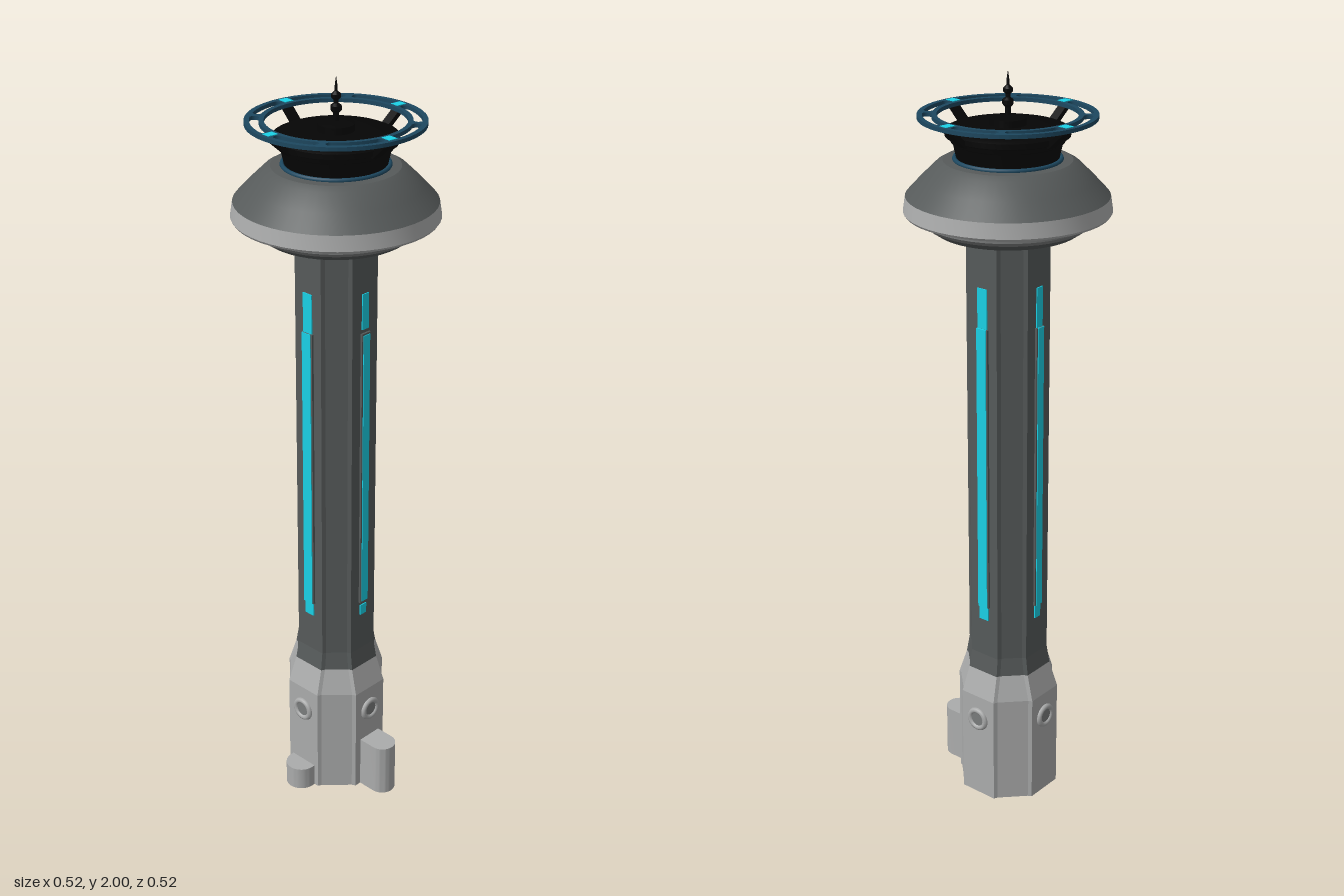
import * as THREE from 'three';
import { toCreasedNormals } from 'three/addons/utils/BufferGeometryUtils.js';

const mat = (name, color, side = THREE.FrontSide) => {
  const m = new THREE.MeshStandardMaterial({ color, side });
  m.name = name;
  return m;
};

export function createModel() {
  const model = new THREE.Group();
  const lightGrey = mat('light grey', 0xabacac, THREE.DoubleSide);
  const darkGrey = mat('dark grey', 0x565a5a, THREE.DoubleSide);
  const midGrey = mat('mid grey', 0x7a7c7c);
  const black = mat('black', 0x050505);
  const blue = mat('deep blue', 0x1d4860);
  const cyan = mat('cyan light', 0x1bd6ec);

  const add = (name, geo, material, parent = model) => {
    const mesh = new THREE.Mesh(geo, material);
    mesh.name = name;
    parent.add(mesh);
    return mesh;
  };
  const lathe = (name, points, material, segments = 48) => {
    const g = new THREE.LatheGeometry(points.map(([r, y]) => new THREE.Vector2(r, y)), segments);
    return add(name, toCreasedNormals(g, 0.4), material);
  };

  // Eight-sided section: four raised panels with a small step beside each chamfer
  const section = ([y, d, w, g]) => {
    const pts = [];
    for (let k = 0; k < 4; k++) {
      const c = Math.cos(k * Math.PI / 2), s = Math.sin(k * Math.PI / 2);
      for (const [u, v] of [[-w - g, d - 2 * g], [-w, d], [w, d], [w + g, d - 2 * g]])
        pts.push([u * c + v * s, y, -u * s + v * c]);
    }
    return pts;
  };
  const loft = (name, rows, material) => {
    const rings = rows.map(section), pos = [];
    for (let j = 0; j < rings.length - 1; j++) {
      for (let i = 0; i < 16; i++) {
        const n = (i + 1) % 16;
        const a = rings[j][i], b = rings[j][n], c = rings[j + 1][n], d = rings[j + 1][i];
        pos.push(...a, ...b, ...c, ...a, ...c, ...d);
      }
    }
    const geo = new THREE.BufferGeometry();
    geo.setAttribute('position', new THREE.Float32BufferAttribute(pos, 3));
    geo.computeVertexNormals();
    return add(name, geo, material);
  };

  // Hollow base and shaft
  loft('base', [[0, 0.13, 0.055, 0.005], [0.31, 0.13, 0.055, 0.005], [0.38, 0.108, 0.048, 0.005]], lightGrey);
  loft('shaft', [[0.38, 0.108, 0.048, 0.005], [0.43, 0.1, 0.045, 0.005], [1.62, 0.1, 0.045, 0.005]], darkGrey);

  // Light strips and portholes on each of the four main faces
  for (let k = 0; k < 4; k++) {
    const face = new THREE.Group();
    face.name = 'faceDetails';
    face.rotation.y = k * Math.PI / 2;
    model.add(face);
    const width = k % 2 ? 0.03 : 0.023;
    add('stripHousing', new THREE.BoxGeometry(width + 0.008, 0.79, 0.006), darkGrey, face)
      .position.set(0, 0.975, 0.103);
    const strips = k === 0
      ? [[0.54, 0.57, 0.003], [0.585, 1.365, 0.008], [1.38, 1.475, 0.003]]
      : [[0.54, 0.58, 0.003], [0.58, 1.37, 0.008], [1.37, 1.475, 0.003]];
    for (const [y0, y1, t] of strips) {
      add('lightStrip', new THREE.BoxGeometry(width, y1 - y0, t), cyan, face)
        .position.set(0, (y0 + y1) / 2, 0.1 + t / 2);
    }
    add('portholeRim', new THREE.TorusGeometry(0.026, 0.008, 8, 20), lightGrey, face)
      .position.set(0, 0.24, 0.131);
    const glass = add('portholeGlass', new THREE.CylinderGeometry(0.024, 0.024, 0.006, 20), midGrey, face);
    glass.rotation.x = Math.PI / 2;
    glass.position.set(0, 0.24, 0.131);
  }

  // Round-ended blocks standing against the foot of the base
  const footBlock = (name, halfWidth, reach, height, turn) => {
    const s = new THREE.Shape();
    s.moveTo(-halfWidth, -0.12);
    s.lineTo(halfWidth, -0.12);
    s.lineTo(halfWidth, -(reach - halfWidth));
    s.absarc(0, -(reach - halfWidth), halfWidth, 0, -Math.PI, true);
    s.closePath();
    const g = new THREE.ExtrudeGeometry(s, { depth: height, bevelEnabled: false, curveSegments: 10 });
    g.rotateX(-Math.PI / 2);
    add(name, toCreasedNormals(g, 0.5), lightGrey).rotation.y = turn;
  };
  footBlock('frontBlock', 0.036, 0.216, 0.15, 0);
  footBlock('sideBlock', 0.042, 0.182, 0.065, -Math.PI / 2);

  // Observation head
  lathe('headUnderside', [[0.09, 1.605], [0.18, 1.605], [0.205, 1.622]], darkGrey);
  lathe('headCollar', [[0.205, 1.622], [0.215, 1.632], [0.215, 1.65]], midGrey);
  lathe('headSoffit', [[0.21, 1.65], [0.256, 1.65]], darkGrey);
  lathe('headRim', [[0.256, 1.65], [0.26, 1.656], [0.254, 1.694]], lightGrey);
  lathe('headRoof', [[0.254, 1.694], [0.216, 1.735], [0.178, 1.772], [0.16, 1.782], [0.1, 1.784]], darkGrey);

  // Dark neck, hub and antenna
  const seam = add('neckSeam', new THREE.TorusGeometry(0.131, 0.006, 8, 48), blue);
  seam.rotation.x = Math.PI / 2;
  seam.position.y = 1.785;
  lathe('neck', [[0.125, 1.78], [0.135, 1.825], [0.14, 1.828], [0.143, 1.838], [0.154, 1.843],
    [0.154, 1.856], [0.14, 1.862], [0.045, 1.868], [0.045, 1.885], [0.015, 1.892], [0, 1.892]], black);
  lathe('antenna', [[0.007, 1.885], [0.007, 1.91], [0.014, 1.918], [0.014, 1.928], [0.006, 1.934],
    [0.006, 1.942], [0.012, 1.948], [0.012, 1.956], [0.004, 1.964], [0.003, 1.98], [0, 2]], black, 12);

  // Slotted crown ring
  const deg = Math.PI / 180;
  const ring = new THREE.Shape();
  ring.absarc(0, 0, 0.221, 0, Math.PI * 2, false);
  const bore = new THREE.Path();
  bore.absarc(0, 0, 0.173, 0, Math.PI * 2, true);
  ring.holes.push(bore);
  const rIn = 0.185, rOut = 0.208, mid = (rIn + rOut) / 2, cap = (rOut - rIn) / 2;
  for (let k = 0; k < 4; k++) {
    for (const [from, to] of [[8, 36.5], [47.5, 82]]) {
      const a = (from - 7 + k * 90) * deg, b = (to - 7 + k * 90) * deg;
      const slot = new THREE.Path();
      slot.absarc(0, 0, rOut, a, b, false);
      slot.absarc(mid * Math.cos(b), mid * Math.sin(b), cap, b, b + Math.PI, false);
      slot.absarc(0, 0, rIn, b, a, true);
      slot.absarc(mid * Math.cos(a), mid * Math.sin(a), cap, a + Math.PI, a + Math.PI * 2, false);
      ring.holes.push(slot);
    }
  }
  const ringGeo = new THREE.ExtrudeGeometry(ring, { depth: 0.01, bevelEnabled: false, curveSegments: 32 });
  ringGeo.rotateX(-Math.PI / 2);
  add('crownRing', ringGeo, blue).position.y = 1.885;

  // Ring arms and lamps
  for (let k = 0; k < 4; k++) {
    const spoke = new THREE.Group();
    spoke.name = 'ringSpoke';
    spoke.rotation.y = (k * 90 - 7) * deg;
    model.add(spoke);
    const arm = add('ringArm', new THREE.BoxGeometry(0.07, 0.012, 0.026), black, spoke);
    arm.position.set(0.172, 1.862, 0);
    arm.rotation.z = 0.72;
    add('ringLamp', new THREE.BoxGeometry(0.028, 0.003, 0.024), cyan, spoke).position.set(0.197, 1.895, 0);
  }
  return model;
}
